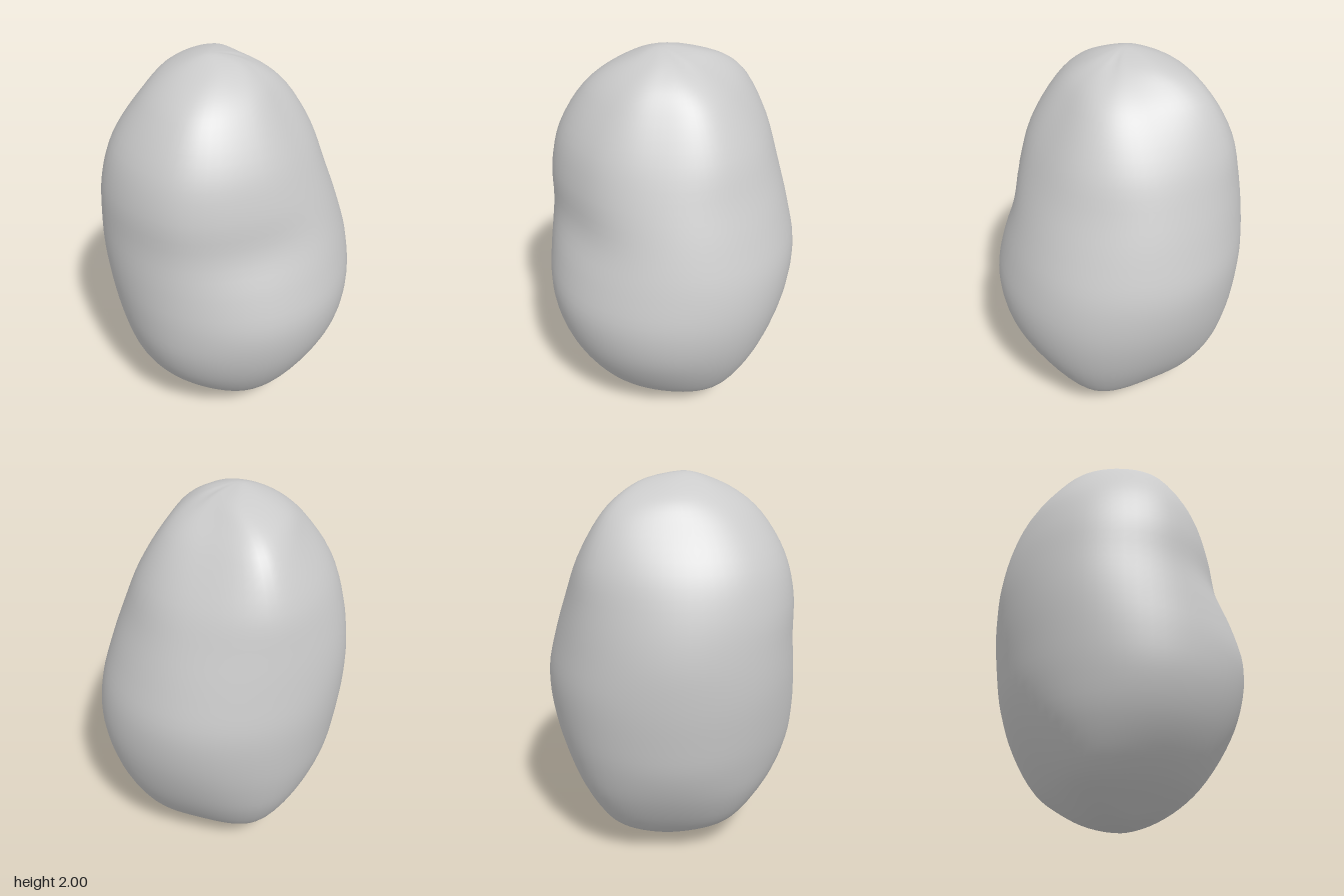
import * as THREE from 'three';
import { mergeVertices } from 'three/addons/utils/BufferGeometryUtils.js';

const v = (x, y, z) => new THREE.Vector3(x, y, z);

// Cross-sections: height, then radii at 45 degree steps from +x towards +z
const SECTIONS = [
  [0.03, 0.16, 0.145, 0.13, 0.13, 0.13, 0.145, 0.16, 0.145],
  [0.10, 0.31, 0.28, 0.28, 0.25, 0.28, 0.27, 0.30, 0.26],
  [0.20, 0.43, 0.39, 0.41, 0.39, 0.42, 0.38, 0.43, 0.37],
  [0.40, 0.55, 0.53, 0.55, 0.55, 0.54, 0.51, 0.55, 0.50],
  [0.60, 0.62, 0.62, 0.63, 0.63, 0.60, 0.59, 0.61, 0.585],
  [0.80, 0.65, 0.645, 0.655, 0.65, 0.635, 0.625, 0.64, 0.635],
  [1.00, 0.635, 0.61, 0.61, 0.64, 0.655, 0.645, 0.65, 0.645],
  [1.20, 0.575, 0.55, 0.54, 0.62, 0.655, 0.645, 0.63, 0.60],
  [1.40, 0.50, 0.48, 0.515, 0.615, 0.64, 0.61, 0.60, 0.535],
  [1.60, 0.425, 0.395, 0.46, 0.565, 0.58, 0.54, 0.56, 0.455],
  [1.80, 0.30, 0.275, 0.34, 0.44, 0.44, 0.41, 0.46, 0.32],
  [1.90, 0.19, 0.19, 0.24, 0.32, 0.33, 0.33, 0.35, 0.21],
  [1.97, 0.05, 0.07, 0.11, 0.17, 0.205, 0.20, 0.18, 0.08],
];
const BOTTOM = v(0.01, 0, 0);
const TOP = v(-0.09, 2, 0);

// Points of one side profile, from bottom to top
function meridian(k) {
  const a = k * Math.PI / 4;
  return SECTIONS.map((s) => v(s[k + 1] * Math.cos(a), s[0], s[k + 1] * Math.sin(a)));
}

function bodyGeometry(segments = 64, steps = 4) {
  // Opposite profiles join into closed loops so both ends stay round
  const loops = [0, 1, 2, 3].map((k) => new THREE.CatmullRomCurve3(
    [BOTTOM, ...meridian(k), TOP, ...meridian(k + 4).reverse()], true));
  const rows = (SECTIONS.length + 1) * steps;
  const positions = [], indices = [];

  for (let r = 0; r <= rows; r++) {
    const t = r / (2 * rows);
    const ringPoints = [
      ...loops.map((c) => c.getPoint(t)),
      ...loops.map((c) => c.getPoint((1 - t) % 1)),
    ];
    const pole = r === 0 ? BOTTOM : r === rows ? TOP : null;
    const ring = new THREE.CatmullRomCurve3(ringPoints, true, 'catmullrom', 0.55);
    for (let s = 0; s < segments; s++) {
      const p = pole || ring.getPoint(s / segments);
      positions.push(p.x, p.y, p.z);
      if (r === rows) continue;
      const a = r * segments + s, b = r * segments + (s + 1) % segments;
      if (r > 0) indices.push(a, a + segments, b);
      if (r < rows - 1) indices.push(b, a + segments, b + segments);
    }
  }
  const geometry = new THREE.BufferGeometry();
  geometry.setAttribute('position', new THREE.Float32BufferAttribute(positions, 3));
  geometry.setIndex(indices);
  const merged = mergeVertices(geometry, 1e-5);
  merged.computeVertexNormals();
  return merged;
}

export function createModel() {
  const group = new THREE.Group();
  group.name = 'potato';
  const body = new THREE.Mesh(bodyGeometry(), new THREE.MeshStandardMaterial({ color: 0xcccccc }));
  body.name = 'body';
  group.add(body);
  return group;
}
